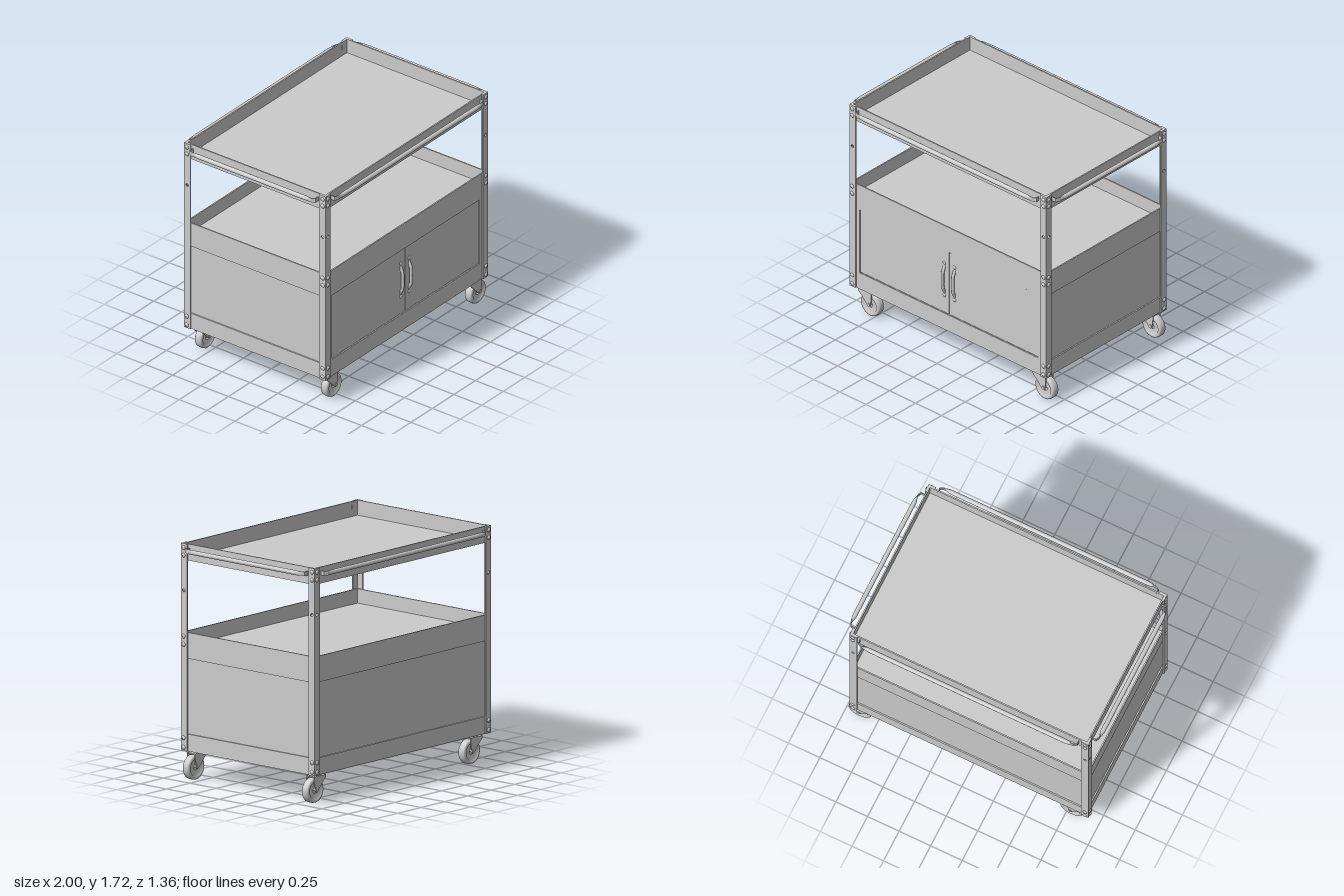
import * as THREE from 'three';

const grey = new THREE.MeshStandardMaterial({ color: 0xcccccc, side: THREE.DoubleSide });

function add(parent, name, geometry, x = 0, y = 0, z = 0) {
  const mesh = new THREE.Mesh(geometry, grey);
  mesh.name = name;
  mesh.position.set(x, y, z);
  parent.add(mesh);
  return mesh;
}

// Box given by its lower and upper corners
function block(parent, name, x0, x1, y0, y1, z0, z1) {
  return add(parent, name, new THREE.BoxGeometry(x1 - x0, y1 - y0, z1 - z0),
    (x0 + x1) / 2, (y0 + y1) / 2, (z0 + z1) / 2);
}

function group(parent, name) {
  const g = new THREE.Group();
  g.name = name;
  parent.add(g);
  return g;
}

function rectangle(x0, x1, y0, y1, Type = THREE.Shape) {
  return new Type([[x0, y0], [x1, y0], [x1, y1], [x0, y1]].map(p => new THREE.Vector2(...p)));
}

const extrude = (shape, depth) =>
  new THREE.ExtrudeGeometry(shape, { depth, bevelEnabled: false, curveSegments: 10 });

const X = 0.945, Z = 0.635;   // outer faces of the posts
const TX = 0.935, TZ = 0.625; // outer faces of the trays

// Open tray: floor with four thin walls
function tray(parent, name, y0, y1, floorY) {
  const g = group(parent, name), t = 0.01;
  block(g, 'floor', -TX, TX, floorY, floorY + t, -TZ, TZ);
  for (const s of [-1, 1]) {
    const a = s * TX, b = s * (TX - t), c = s * TZ, d = s * (TZ - t);
    block(g, 'endWall', Math.min(a, b), Math.max(a, b), y0, y1, -TZ, TZ);
    block(g, 'longWall', -TX, TX, y0, y1, Math.min(c, d), Math.max(c, d));
  }
  return g;
}

// Domed bolt head pointing along +z
function bolt(parent, x, y, z) {
  const profile = [[0, 0.011], [0.009, 0.009], [0.015, 0.004], [0.017, 0]]
    .map(p => new THREE.Vector2(...p)).reverse();
  const m = add(parent, 'bolt', new THREE.LatheGeometry(profile, 12), x, y, z);
  m.rotation.x = Math.PI / 2;
}

// One flange of an angle post with its bolts, facing +z
function flange(parent, edge, face, levels) {
  const shape = rectangle(edge - 0.057, edge, 0.21, 1.72);
  const hole = new THREE.Path();
  hole.absarc(edge - 0.028, 1.38, 0.012, 0, Math.PI * 2, true);
  shape.holes.push(hole);
  add(parent, 'flange', extrude(shape, 0.01), 0, 0, face - 0.01);
  for (const y of levels) bolt(parent, edge - 0.026, y, face);
}

function post(parent, sx, sz) {
  const g = group(parent, 'cornerPost');
  const levels = [1.69, 1.635, 0.305, 0.235];
  if (sz > 0) levels.push(1.045, 0.985);
  flange(g, X, Z, levels);
  const side = group(g, 'sideFlange');
  flange(side, Z, X, levels);
  side.rotation.y = Math.PI / 2;
  side.scale.x = -1;
  g.scale.set(sx, 1, sz);
}

// Rail with flattened ends and bent tabs, along x and facing +z
function rail(parent, half, wall, angle) {
  const g = group(parent, 'rail');
  const out = wall + 0.04, flat = half - 0.03;
  const rod = new THREE.CylinderGeometry(0.017, 0.017, 2 * flat, 16, 40, true);
  rod.rotateZ(Math.PI / 2);
  const p = rod.attributes.position;
  for (let i = 0; i < p.count; i++) {
    const squash = Math.min(1, 0.15 + (flat - Math.abs(p.getX(i))) / 0.06);
    p.setZ(i, p.getZ(i) * squash);
  }
  rod.computeVertexNormals();
  add(g, 'rod', rod, 0, 1.677, out);
  for (const s of [-1, 1]) {
    const tab = new THREE.Shape([[flat - 0.02, out + 0.003], [flat, out + 0.003], [half, out - 0.01],
      [half, wall - 0.012], [half - 0.006, wall - 0.012], [half - 0.006, out - 0.014],
      [flat - 0.002, out - 0.003], [flat - 0.02, out - 0.003]].map(q => new THREE.Vector2(...q)));
    const geometry = extrude(tab, 0.032);
    geometry.rotateX(Math.PI / 2);
    const m = add(g, 'tab', geometry, 0, 1.693, 0);
    m.scale.x = s;
  }
  g.rotation.y = angle;
}

// Swivel caster trailing towards +x
function caster(parent, x, z) {
  const g = group(parent, 'caster');
  g.position.set(x, 0, z);
  const tyre = [[0.02, -0.02], [0.06, -0.02], [0.064, -0.03], [0.08, -0.03], [0.088, -0.024], [0.091, -0.01],
    [0.091, 0.01], [0.088, 0.024], [0.08, 0.03], [0.064, 0.03], [0.06, 0.02], [0.02, 0.02]];
  const wheel = new THREE.LatheGeometry(tyre.map(q => new THREE.Vector2(...q)), 36);
  wheel.rotateX(Math.PI / 2);
  add(g, 'wheel', wheel, 0.04, 0.091, 0);
  const axle = new THREE.CylinderGeometry(0.013, 0.013, 0.09, 12);
  axle.rotateX(Math.PI / 2);
  add(g, 'axle', axle, 0.04, 0.1, 0);
  const leg = new THREE.Shape([[-0.06, 0.195], [0.065, 0.195], [0.065, 0.16], [0.055, 0.09], [0.04, 0.08],
    [0.025, 0.09], [-0.02, 0.14], [-0.06, 0.18]].map(q => new THREE.Vector2(...q)));
  for (const s of [-0.04, 0.033]) add(g, 'forkLeg', extrude(leg, 0.007), 0, 0, s);
  block(g, 'forkCrown', -0.06, 0.065, 0.187, 0.195, -0.04, 0.04);
  add(g, 'swivel', new THREE.CylinderGeometry(0.035, 0.035, 0.02, 20), 0, 0.203, 0);
}

// Bow handle with feet, on the door face
function doorHandle(parent, x, z) {
  const g = group(parent, 'doorHandle');
  const path = new THREE.CatmullRomCurve3([[0.51, 0], [0.535, 0.013], [0.56, 0.024], [0.625, 0.026],
    [0.69, 0.024], [0.715, 0.013], [0.74, 0]].map(q => new THREE.Vector3(x, q[0], z + q[1])));
  add(g, 'grip', new THREE.TubeGeometry(path, 32, 0.012, 10));
  for (const y of [0.51, 0.74]) {
    block(g, 'foot', x - 0.015, x + 0.015, y - 0.03, y + 0.03, z, z + 0.008);
    bolt(g, x, y + (y > 0.6 ? 0.02 : -0.02), z + 0.005);
  }
}

export function createModel() {
  const model = new THREE.Group();
  model.name = 'utilityCart';

  tray(model, 'topTray', 1.6, 1.72, 1.6);
  tray(model, 'middleTray', 0.885, 1.075, 0.96);
  tray(model, 'bottomTray', 0.21, 0.335, 0.21);

  // Cabinet: recessed side and back panels, front frame with two doors
  const cabinet = group(model, 'cabinet');
  for (const s of [-1, 1]) {
    const x = s * (TX - 0.014);
    block(cabinet, 'sidePanel', x - 0.004, x + 0.004, 0.3, 0.92, -TZ + 0.01, TZ - 0.01);
  }
  block(cabinet, 'backPanel', -TX + 0.01, TX - 0.01, 0.3, 0.92, -TZ + 0.01, -TZ + 0.018);
  const frame = rectangle(-TX, TX, 0.335, 0.885);
  frame.holes.push(rectangle(-0.857, 0.857, 0.345, 0.87, THREE.Path));
  add(cabinet, 'frontFrame', extrude(frame, 0.01), 0, 0, TZ - 0.01);
  block(cabinet, 'doorStop', -0.9, 0.9, 0.34, 0.88, TZ - 0.025, TZ - 0.02);
  for (const s of [-1, 1]) {
    block(cabinet, 'door', s > 0 ? 0.003 : -0.852, s > 0 ? 0.852 : -0.003, 0.35, 0.865, TZ - 0.02, TZ - 0.006);
    doorHandle(cabinet, s * 0.049, TZ - 0.015);
  }

  for (const sx of [-1, 1]) for (const sz of [-1, 1]) {
    post(model, sx, sz);
    caster(model, sx > 0 ? 0.848 : -0.828, sz * 0.565);
  }

  // Rails around the top tray
  for (const turn of [0, Math.PI]) {
    rail(model, 0.868, TZ, turn);
    rail(model, 0.565, TX + 0.008, turn + Math.PI / 2);
  }
  return model;
}
